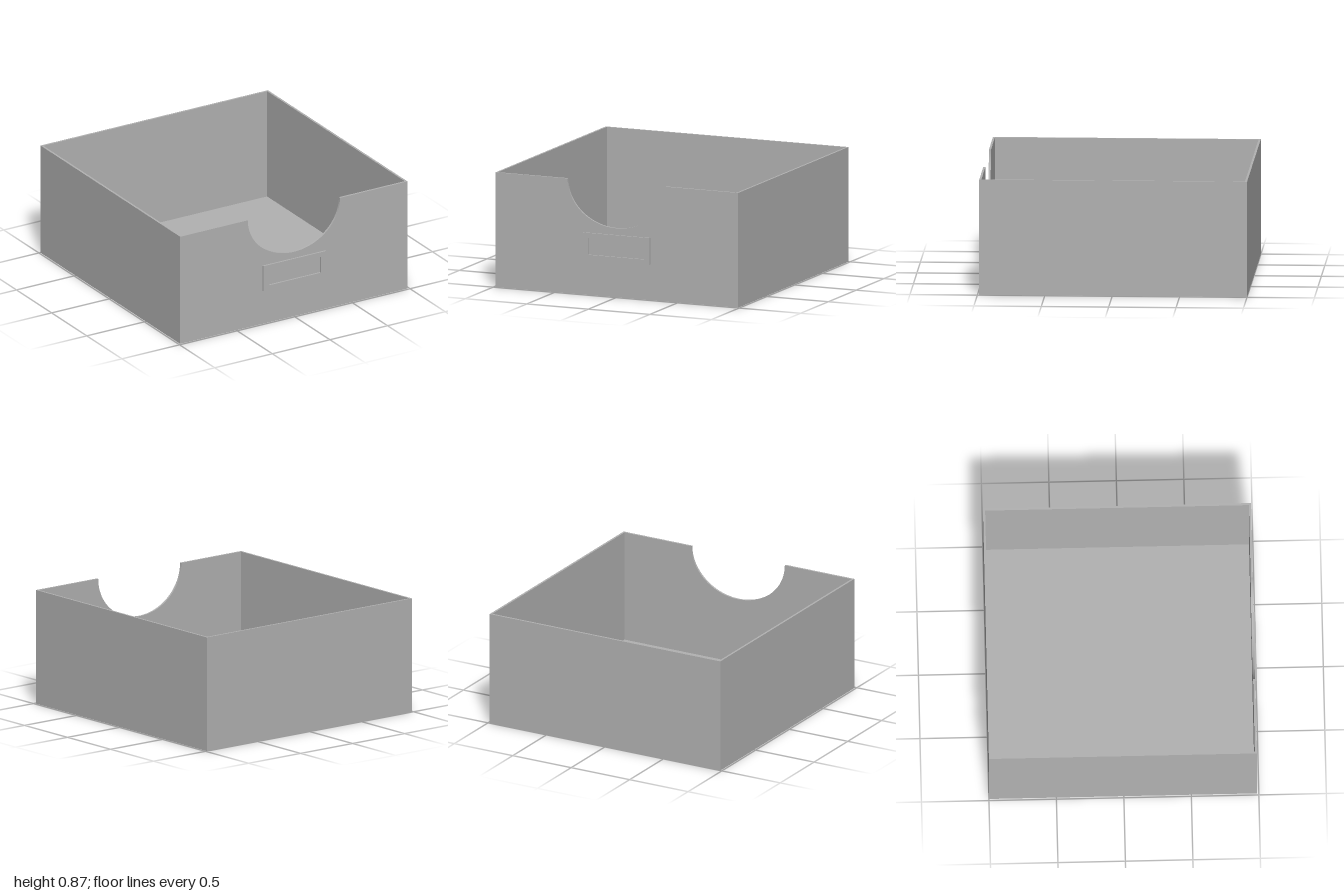
import * as THREE from 'three';

const HALF_W = 0.987, HEIGHT = 0.865, BACK = -1, FRONT = 0.987, WALL = 0.016;
const DEPTH = FRONT - BACK;

export function createModel() {
  const grey = new THREE.MeshStandardMaterial({ color: 0xb2b2b2 });
  grey.name = 'grey';
  const group = new THREE.Group();
  group.name = 'storageBin';

  const add = (name, geometry, x, y, z) => {
    const mesh = new THREE.Mesh(geometry, grey);
    mesh.name = name;
    mesh.position.set(x, y, z);
    group.add(mesh);
  };
  const extrude = (shape, depth) =>
    new THREE.ExtrudeGeometry(shape, { depth, bevelEnabled: false, curveSegments: 48 });

  // Floor, back and side walls
  const midZ = (FRONT + BACK) / 2;
  add('floor', new THREE.BoxGeometry(HALF_W * 2, WALL, DEPTH), 0, WALL / 2, midZ);
  const wallH = HEIGHT - WALL, wallY = WALL + wallH / 2;
  add('backWall', new THREE.BoxGeometry(HALF_W * 2, wallH, WALL), 0, wallY, BACK + WALL / 2);
  for (const [name, side] of [['leftWall', 1], ['rightWall', -1]]) {
    add(name, new THREE.BoxGeometry(WALL, wallH, DEPTH - 2 * WALL), side * (HALF_W - WALL / 2), wallY, midZ);
  }

  // Front wall with a half-ellipse hand cutout in its top edge
  const front = new THREE.Shape();
  front.moveTo(-HALF_W, WALL);
  front.lineTo(HALF_W, WALL);
  front.lineTo(HALF_W, HEIGHT);
  front.lineTo(0.4, HEIGHT);
  front.absellipse(0, HEIGHT, 0.4, 0.345, 0, Math.PI, true);
  front.lineTo(-HALF_W, HEIGHT);
  front.closePath();
  add('frontWall', extrude(front, WALL), 0, 0, FRONT - WALL);

  // Raised label holder frame
  const rectangle = (path, w, h) => {
    path.moveTo(-w, -h);
    path.lineTo(w, -h);
    path.lineTo(w, h);
    path.lineTo(-w, h);
    path.closePath();
    return path;
  };
  const frame = rectangle(new THREE.Shape(), 0.273, 0.101);
  frame.holes.push(rectangle(new THREE.Path(), 0.226, 0.064));
  add('labelFrame', extrude(frame, 1 - FRONT), 0, 0.369, FRONT);

  return group;
}
